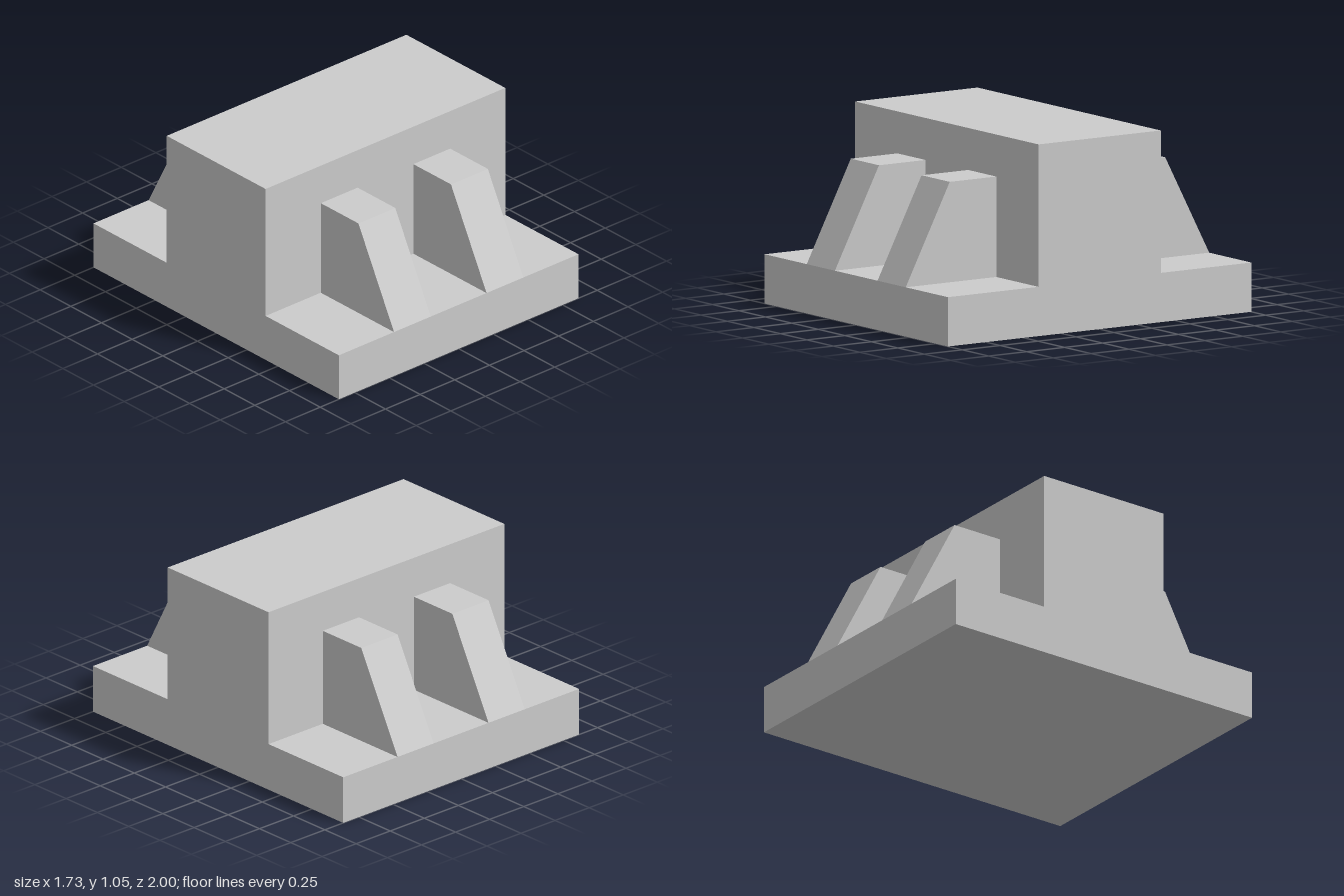
import * as THREE from 'three';

const W = 1.73, BASE_H = 0.27, TOP = 1.05, RIB_H = 0.82, WALL_Z = 0.403;

export function createModel() {
  const model = new THREE.Group();
  const material = new THREE.MeshStandardMaterial({ color: 0xcccccc, flatShading: true });

  // Solid body: inverted T section (z across, y up) run along x
  const section = (points, width, name) => {
    const shape = new THREE.Shape(points.map(([z, y]) => new THREE.Vector2(z, y)));
    const geometry = new THREE.ExtrudeGeometry(shape, { depth: width, bevelEnabled: false });
    geometry.translate(0, 0, -width / 2).rotateY(-Math.PI / 2);
    const mesh = new THREE.Mesh(geometry, material);
    mesh.name = name;
    return mesh;
  };
  model.add(section([
    [-1, 0], [1, 0], [1, BASE_H], [WALL_Z, BASE_H], [WALL_Z, TOP],
    [-WALL_Z, TOP], [-WALL_Z, BASE_H], [-1, BASE_H],
  ], W, 'baseAndBlock'));

  // Two sloped ribs on the front, repeated on the back by a half turn
  for (const side of ['front', 'back']) {
    const ribs = new THREE.Group();
    ribs.name = side + 'Ribs';
    for (const s of [-1, 1]) {
      const rib = section([
        [WALL_Z, BASE_H], [1, BASE_H], [0.71, RIB_H], [WALL_Z, RIB_H],
      ], 0.266, side + 'Rib');
      rib.position.x = s * 0.334;
      ribs.add(rib);
    }
    if (side === 'back') ribs.rotation.y = Math.PI;
    model.add(ribs);
  }
  return model;
}
